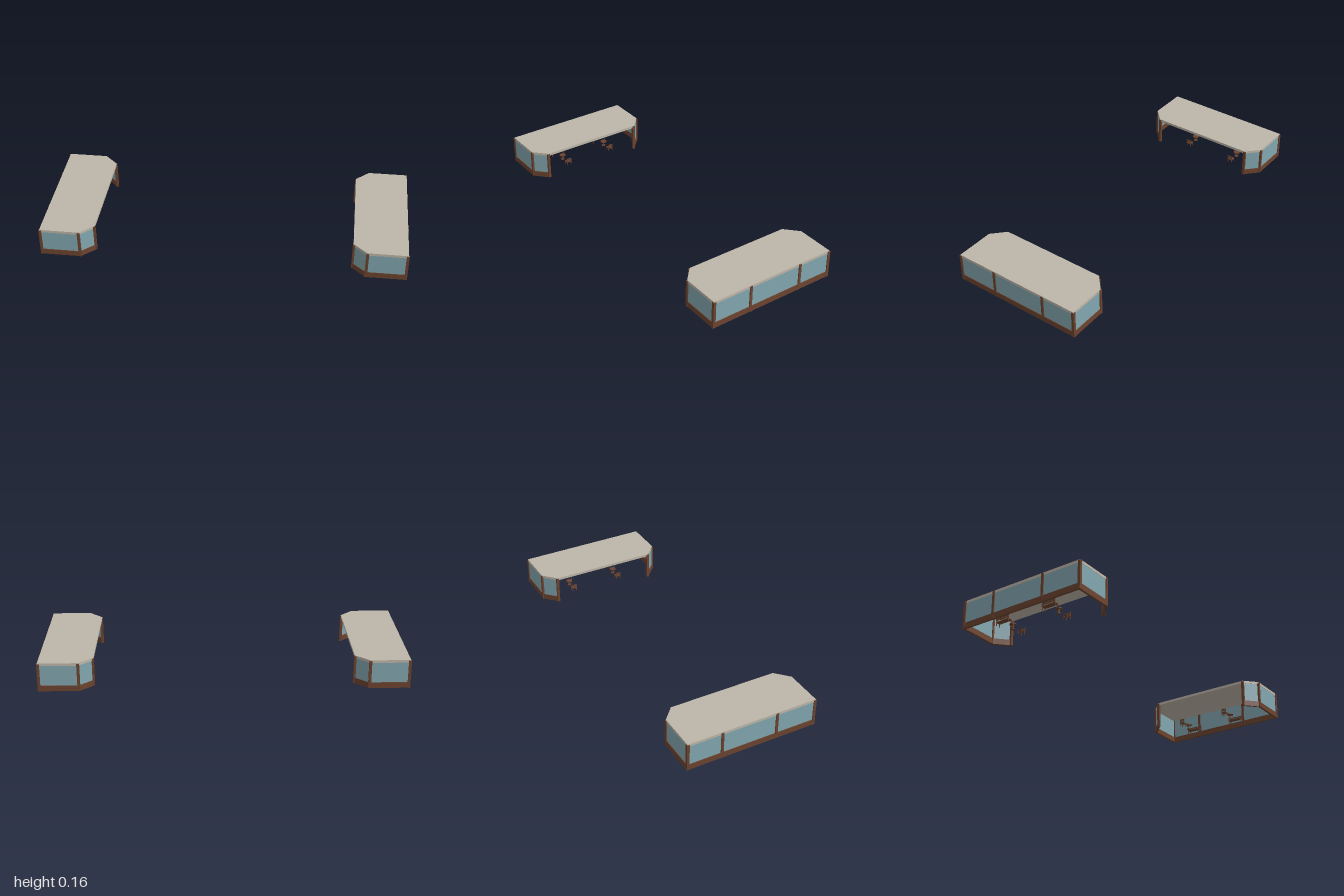
import * as THREE from 'three';

const wood = new THREE.MeshStandardMaterial({ color: 0x6c432e });
wood.name = 'brown wood';
const glass = new THREE.MeshStandardMaterial({ color: 0x81a5ae });
glass.name = 'blue glass';
const canopy = new THREE.MeshStandardMaterial({ color: 0xbdb5a8 });
canopy.name = 'beige canopy';

function box(parent, name, material, size, pos, angle = 0) {
  const mesh = new THREE.Mesh(new THREE.BoxGeometry(...size), material);
  mesh.name = name;
  mesh.position.set(...pos);
  mesh.rotation.y = angle;
  parent.add(mesh);
  return mesh;
}

// Bench or chair; the backrest is on the side given by facing (+1 = outer side)
function seat(name, length, facing) {
  const g = new THREE.Group();
  g.name = name;
  box(g, 'seatBoard', wood, [0.028, 0.004, length], [0, 0.018, 0]);
  for (const sx of [-1, 1]) for (const sz of [-1, 1]) {
    box(g, 'seatLeg', wood, [0.004, 0.017, 0.004], [sx * 0.011, 0.0085, sz * (length / 2 - 0.003)]);
  }
  for (const sz of [-1, 1]) {
    box(g, 'backPost', wood, [0.004, 0.022, 0.004], [facing * 0.012, 0.03, sz * (length / 2 - 0.003)]);
  }
  for (const y of [0.029, 0.038]) {
    box(g, 'backSlat', wood, [0.003, 0.006, length], [facing * 0.012, y, 0]);
  }
  return g;
}

// Small pedestal table
function table() {
  const g = new THREE.Group();
  g.name = 'table';
  for (const [name, r, h, y] of [['tableTop', 0.019, 0.004, 0.028], ['tableStem', 0.004, 0.026, 0.013], ['tableFoot', 0.012, 0.003, 0.0015]]) {
    const m = new THREE.Mesh(new THREE.CylinderGeometry(r, r, h, 12), wood);
    m.name = name;
    m.position.y = y;
    g.add(m);
  }
  return g;
}

// One dining shelter on the +x side (side = 1) or mirrored to -x (side = -1)
function shelter(side) {
  const g = new THREE.Group();
  g.name = side > 0 ? 'leftShelter' : 'rightShelter';

  // Wall corners from the inner front post round the outside to the inner back post
  const corners = [
    [0.707, 0.304], [0.779, 0.371], [0.991, 0.371], [0.991, 0.143],
    [0.991, -0.176], [0.991, -0.371], [0.779, -0.371], [0.707, -0.304],
  ].map(([x, z]) => [x * side, z]);

  for (const [x, z] of corners) {
    box(g, 'post', wood, [0.015, 0.157, 0.015], [x, 0.0785, z]);
  }
  for (let i = 0; i < corners.length - 1; i++) {
    const [x0, z0] = corners[i], [x1, z1] = corners[i + 1];
    const dx = x1 - x0, dz = z1 - z0;
    const len = Math.hypot(dx, dz), angle = Math.atan2(-dz, dx);
    const cx = (x0 + x1) / 2, cz = (z0 + z1) / 2;
    box(g, 'baseBoard', wood, [len, 0.032, 0.012], [cx, 0.016, cz], angle);
    box(g, 'glassPanel', glass, [len, 0.114, 0.005], [cx, 0.089, cz], angle);
  }

  // Flat canopy with the two inner corners cut off
  const outline = [
    [0.703, 0.305], [0.777, 0.375], [0.995, 0.375],
    [0.995, -0.375], [0.777, -0.375], [0.703, -0.305],
  ].map(([x, z]) => new THREE.Vector2(x * side, -z));
  const roofGeo = new THREE.ExtrudeGeometry(new THREE.Shape(outline), { depth: 0.015, bevelEnabled: false });
  roofGeo.rotateX(-Math.PI / 2);
  const roof = new THREE.Mesh(roofGeo, canopy);
  roof.name = 'canopy';
  roof.position.y = 0.146;
  g.add(roof);

  // Two dining sets: bench by the outer wall, table, chair by the opening
  for (const z of [0.13, -0.17]) {
    const set = new THREE.Group();
    set.name = 'diningSet';
    const parts = [
      [seat('bench', 0.085, side), 0.915],
      [table(), 0.846],
      [seat('chair', 0.03, -side), 0.78],
    ];
    for (const [part, x] of parts) {
      part.position.set(x * side, 0, z);
      set.add(part);
    }
    g.add(set);
  }
  return g;
}

export function createModel() {
  const model = new THREE.Group();
  model.name = 'diningShelters';
  model.add(shelter(1), shelter(-1));
  return model;
}
